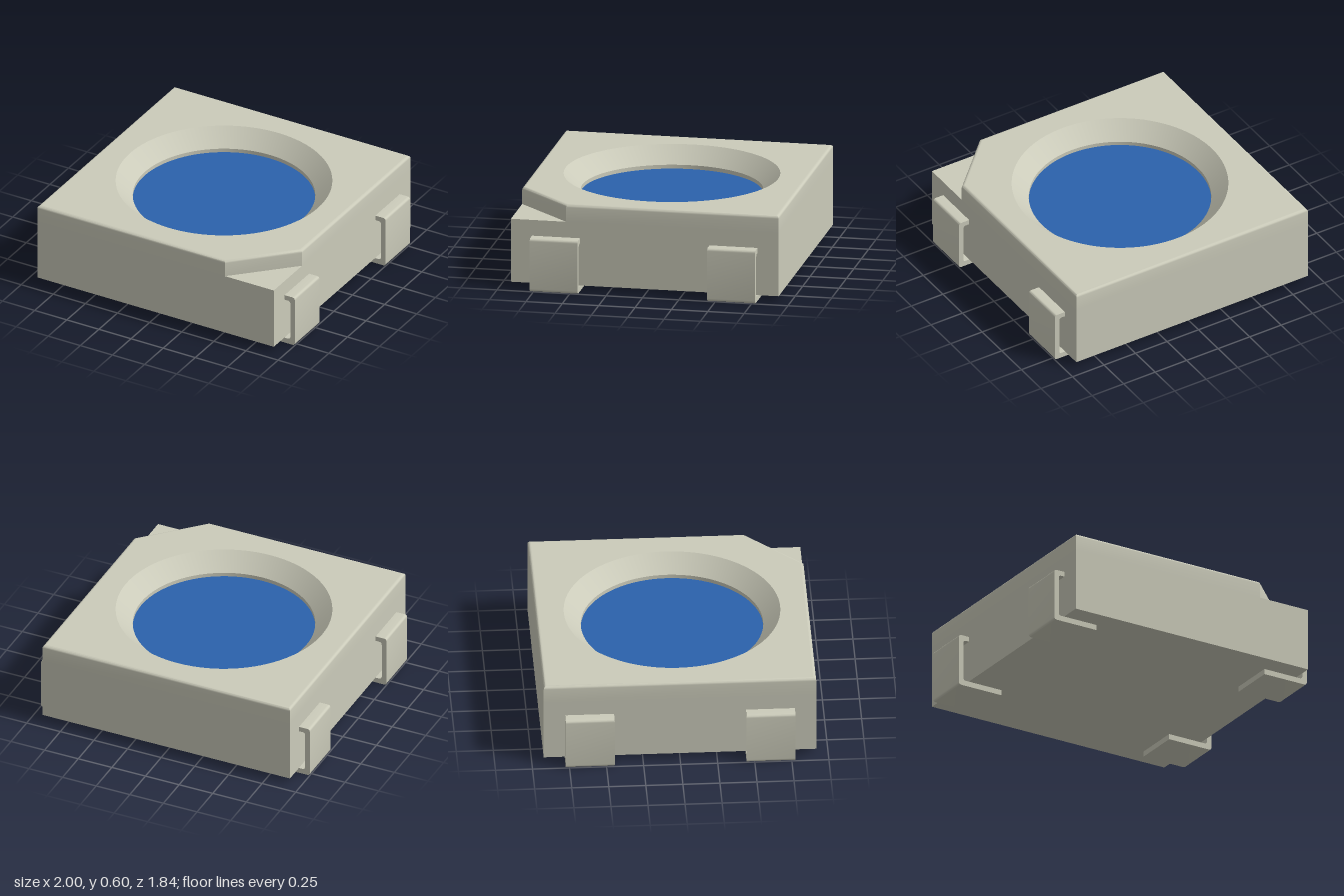
import * as THREE from 'three';
import { toCreasedNormals } from 'three/addons/utils/BufferGeometryUtils.js';

const HALF = 0.92;       // half width of the square body
const BASE = 0.04;       // underside of the body
const STEP = 0.48;       // height of the corner notch
const TOP = 0.6;
const FILLET = 0.02;
const CUT = 1.46;        // notch line: x + z = CUT
const WELL_R = 0.73, LENS_R = 0.615, LENS_Y = 0.46;

// Body outlines as [x, z], counter-clockwise from above
const square = (a) => [[-a, a], [a, a], [a, -a], [-a, -a]];
function notched(inset) {
  const a = HALF - inset;
  const b = CUT - Math.SQRT2 * inset - a;
  return [[-a, a], [b, a], [a, b], [a, -a], [-a, -a]];
}

// Walls joining a stack of { y, pts } loops, lowest first
function loft(loops) {
  const pos = [];
  for (let k = 0; k < loops.length - 1; k++) {
    const lo = loops[k], hi = loops[k + 1], n = lo.pts.length;
    const at = (loop, i) => [loop.pts[i % n][0], loop.y, loop.pts[i % n][1]];
    for (let i = 0; i < n; i++) {
      const a = at(lo, i), b = at(lo, i + 1), c = at(hi, i + 1), d = at(hi, i);
      pos.push(...a, ...b, ...c, ...a, ...c, ...d);
    }
  }
  const geo = new THREE.BufferGeometry();
  geo.setAttribute('position', new THREE.Float32BufferAttribute(pos, 3));
  return toCreasedNormals(geo, 0.6);
}

// Flat face looking up, with an optional round hole
function face(pts, y, holeRadius) {
  const shape = new THREE.Shape(pts.map(([x, z]) => new THREE.Vector2(x, -z)));
  if (holeRadius) shape.holes.push(new THREE.Path().absarc(0, 0, holeRadius, 0, Math.PI * 2, true));
  return new THREE.ShapeGeometry(shape, 48).rotateX(-Math.PI / 2).translate(0, y, 0);
}

// C-shaped contact strip, bent around the +x side
function leadGeometry(width) {
  const s = new THREE.Shape();
  const r = 0.02, xi = 0.965, foot = 0.038, arm = 0.335, h = 0.37;
  s.moveTo(0.665, 0);
  s.lineTo(1 - r, 0);
  s.quadraticCurveTo(1, 0, 1, r);
  s.lineTo(1, h - r);
  s.quadraticCurveTo(1, h, 1 - r, h);
  s.lineTo(0.915, h);
  s.lineTo(0.915, arm);
  s.lineTo(xi - r, arm);
  s.quadraticCurveTo(xi, arm, xi, arm - r);
  s.lineTo(xi, foot + r);
  s.quadraticCurveTo(xi, foot, xi - r, foot);
  s.lineTo(0.665, foot);
  s.closePath();
  const geo = new THREE.ExtrudeGeometry(s, { depth: width, bevelEnabled: false, curveSegments: 5 });
  return toCreasedNormals(geo.translate(0, 0, -width / 2), 0.6);
}

export function createModel() {
  const model = new THREE.Group();
  const bodyMat = new THREE.MeshStandardMaterial({ color: 0xcbcbba });
  bodyMat.name = 'warm grey';
  const lensMat = new THREE.MeshStandardMaterial({ color: 0x2b62ac });
  lensMat.name = 'blue';

  const add = (parent, name, geo, mat) => {
    const mesh = new THREE.Mesh(geo, mat);
    mesh.name = name;
    parent.add(mesh);
    return mesh;
  };

  // Housing: square base, notched upper part with rounded top edge
  const housing = new THREE.Group();
  housing.name = 'housing';
  model.add(housing);
  add(housing, 'lowerWalls', loft([
    { y: BASE, pts: square(HALF) }, { y: STEP, pts: square(HALF) },
  ]), bodyMat);
  const upper = [{ y: STEP, pts: notched(0) }];
  for (let i = 0; i <= 5; i++) {
    const t = (i / 5) * Math.PI / 2;
    upper.push({
      y: TOP - FILLET * (1 - Math.sin(t)),
      pts: notched(FILLET * (1 - Math.cos(t))),
    });
  }
  add(housing, 'upperWalls', loft(upper), bodyMat);
  add(housing, 'topFace', face(notched(FILLET), TOP, WELL_R), bodyMat);
  add(housing, 'cornerStep', face([[CUT - HALF, HALF], [HALF, HALF], [HALF, CUT - HALF]], STEP), bodyMat);
  add(housing, 'underside',
    new THREE.PlaneGeometry(2 * HALF, 2 * HALF).rotateX(Math.PI / 2).translate(0, BASE, 0), bodyMat);

  // Conical well with a short straight lip above the lens
  const well = new THREE.LatheGeometry([
    new THREE.Vector2(WELL_R, TOP),
    new THREE.Vector2(LENS_R, 0.487),
    new THREE.Vector2(LENS_R, LENS_Y),
  ], 96);
  add(housing, 'reflectorWell', toCreasedNormals(well, 0.6), bodyMat);
  add(model, 'lens',
    new THREE.CircleGeometry(LENS_R, 96).rotateX(-Math.PI / 2).translate(0, LENS_Y, 0), lensMat);

  // Four contacts, two on each side
  const lead = leadGeometry(0.33);
  for (const [side, angle] of [['left', 0], ['right', Math.PI]]) {
    for (const [end, z] of [['Front', 0.61], ['Back', -0.61]]) {
      const mesh = add(model, side + end + 'Contact', lead, bodyMat);
      mesh.rotation.y = angle;
      mesh.position.z = z;
    }
  }
  return model;
}
